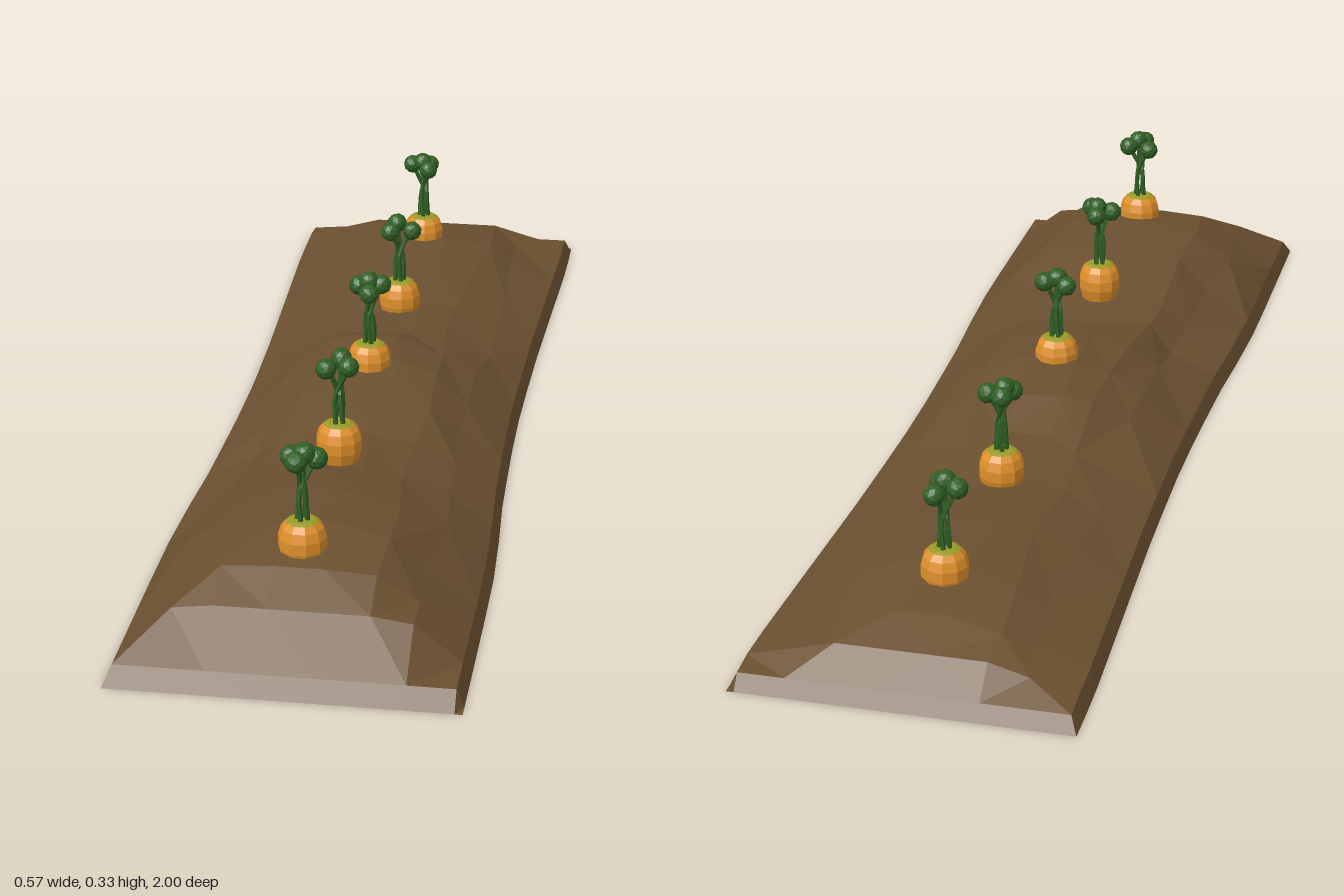
import * as THREE from 'three';

const paint = (color) => new THREE.MeshStandardMaterial({ color, flatShading: true });
const soil = paint(0x6b5030);
const orange = paint(0xe0902a);
const crown = paint(0x9a9a28);
const green = paint(0x2f5f24);

let seed = 7;
const rand = () => (seed = (seed * 16807) % 2147483647) / 2147483647 - 0.5;

function add(parent, name, geometry, material) {
  const mesh = new THREE.Mesh(geometry, material);
  mesh.name = name;
  parent.add(mesh);
  return mesh;
}

// Soil mound: cross-sections lofted along z, sliced off by a ramp at each end
function moundGeometry() {
  // z, ridge height, ramp ceiling, half width
  const rows = [
    [1, 0.15, 0, 0.284], [0.975, 0.15, 0.03, 0.284], [0.89, 0.152, 0.1, 0.284], [0.82, 0.152, 0.14, 0.284],
    [0.69, 0.161, 1, 0.284], [0.55, 0.152, 1, 0.283], [0.41, 0.13, 1, 0.277], [0.28, 0.124, 1, 0.269],
    [0.15, 0.145, 1, 0.265], [0.03, 0.158, 1, 0.262], [-0.1, 0.147, 1, 0.261], [-0.24, 0.113, 1, 0.263],
    [-0.38, 0.101, 1, 0.266], [-0.55, 0.113, 1, 0.272], [-0.74, 0.116, 1, 0.279], [-0.85, 0.098, 1, 0.283],
    [-0.93, 0.085, 0.07, 0.284], [-0.98, 0.08, 0.025, 0.284], [-1, 0.08, 0, 0.284],
  ];
  // fraction of half width, fraction of ridge height
  const half = [[1, 0], [0.955, 0.2], [0.68, 0.6], [0.44, 0.89], [0.14, 0.99]];
  const section = [...half.map(([x, y]) => [-x, y]), ...half.slice().reverse()];
  const n = section.length;
  const position = [];
  const index = [];
  rows.forEach(([z, ridge, ramp, width], i) => {
    section.forEach(([fx, fy], j) => {
      const inner = j > 1 && j < n - 2 && ramp === 1;
      const lip = j === 1 || j === n - 2;
      const y = Math.min(ramp, lip ? 0.03 : ridge * fy);
      const middle = Math.abs(fx) < 0.2;
      position.push(
        width * fx + (inner ? rand() * 0.03 : 0),
        y + (inner && !middle ? rand() * 0.012 : 0),
        z + (inner ? rand() * 0.06 : 0));
      if (i && j) {
        const a = (i - 1) * n + j - 1, c = i * n + j - 1;
        if ((i + j) % 2) index.push(a, a + 1, c, a + 1, c + 1, c);
        else index.push(a, a + 1, c + 1, a, c + 1, c);
      }
    });
    // underside
    if (i) {
      const a = (i - 1) * n, b = a + n - 1, c = i * n, d = c + n - 1;
      index.push(a, c, b, b, c, d);
    }
  });
  const geometry = new THREE.BufferGeometry();
  geometry.setAttribute('position', new THREE.Float32BufferAttribute(position, 3));
  geometry.setIndex(index);
  geometry.computeVertexNormals();
  return geometry;
}

// One carrot with its origin at the top of the root
function carrot(yaw) {
  const plant = new THREE.Group();
  plant.name = 'carrot';
  const profile = [[0, -0.13], [0.018, -0.11], [0.033, -0.07], [0.04, -0.045], [0.04, -0.026], [0.035, -0.01], [0.027, 0]]
    .map(([r, y]) => new THREE.Vector2(r, y));
  add(plant, 'root', new THREE.LatheGeometry(profile, 10), orange);
  add(plant, 'crown', new THREE.CylinderGeometry(0.02, 0.027, 0.003, 10), crown).position.y = 0.0012;

  // Stems with a leaf cluster at each tip
  const tips = [[0.004, 0.12, 0.004], [0.024, 0.108, 0], [-0.012, 0.112, 0.02], [-0.015, 0.106, -0.019]];
  tips.forEach(([x, y, z], i) => {
    const a = i * 1.57 + 0.4;
    const path = new THREE.CatmullRomCurve3([
      new THREE.Vector3(Math.cos(a) * 0.009, -0.003, Math.sin(a) * 0.009),
      new THREE.Vector3(Math.cos(a + 0.6) * 0.007, 0.05, Math.sin(a + 0.6) * 0.007),
      new THREE.Vector3(x * 0.45, 0.085, z * 0.45),
      new THREE.Vector3(x, y, z),
    ]);
    add(plant, 'stem', new THREE.TubeGeometry(path, 6, 0.0045, 5), green);
    const leaf = add(plant, 'leafCluster', new THREE.IcosahedronGeometry(0.0185, 1), green);
    leaf.position.set(x, y, z);
    leaf.rotation.set(i, i * 2, 0);
  });
  plant.rotation.y = yaw;
  return plant;
}

export function createModel() {
  const model = new THREE.Group();
  model.name = 'carrotBed';
  add(model, 'soilMound', moundGeometry(), soil);
  // z position, top height, turn
  [[0.76, 0.194, 0.3], [0.385, 0.194, 1.5], [0.03, 0.194, 2.6], [-0.375, 0.156, 4], [-0.74, 0.156, 5.2]]
    .forEach(([z, y, yaw]) => {
      const plant = carrot(yaw);
      plant.position.set(-0.004, y, z);
      model.add(plant);
    });
  return model;
}
